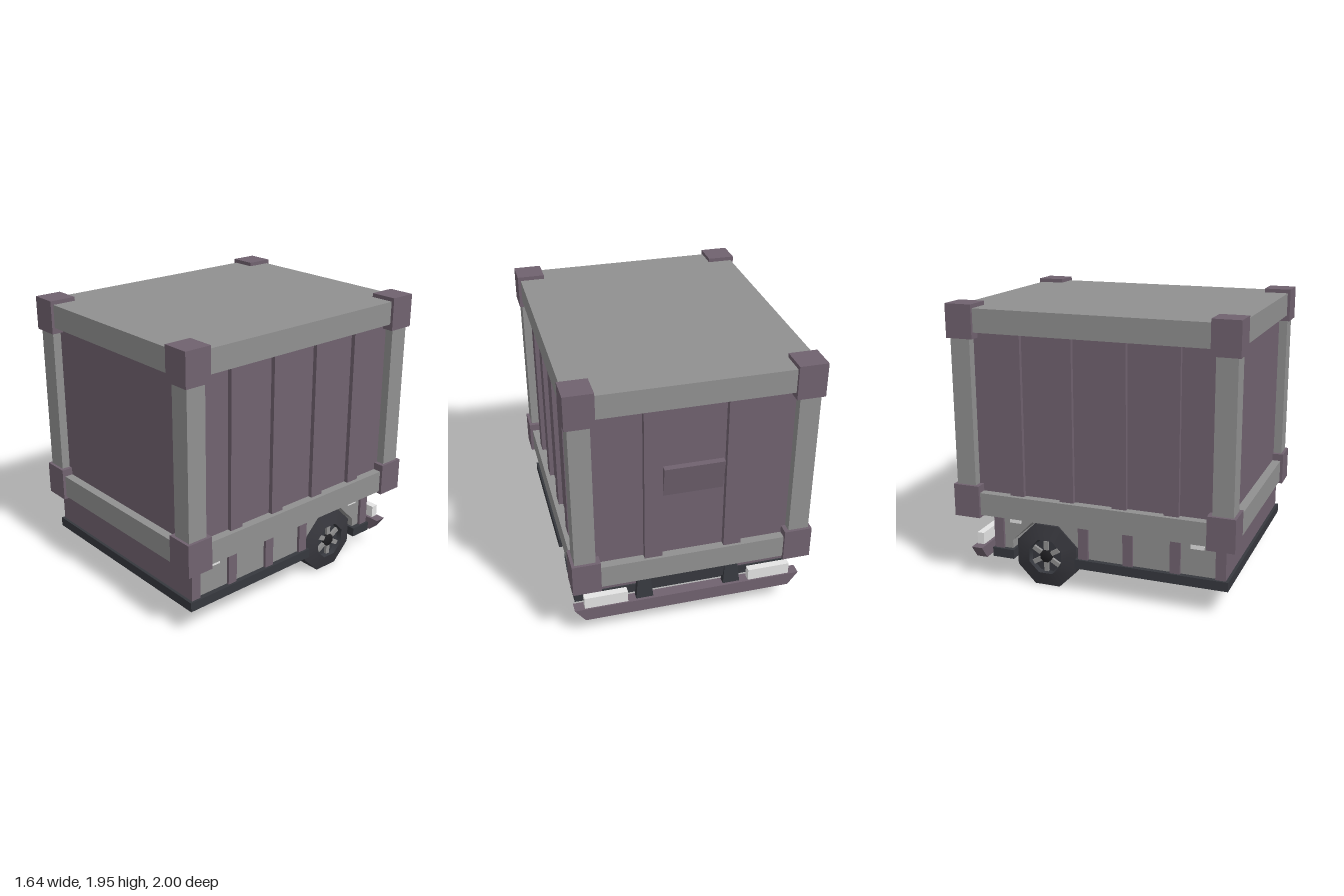
import * as THREE from 'three';

const mat = (name, color) => {
  const m = new THREE.MeshStandardMaterial({ color });
  m.name = name;
  return m;
};

export function createModel() {
  const purple = mat('dull purple paint', 0x70626f);
  const grey = mat('grey frame', 0x909090);
  const dark = mat('dark rail', 0x36383e);
  const rubber = mat('tyre rubber', 0x37373d);
  const black = mat('black', 0x1f1f22);
  const pale = mat('pale lamp', 0xe4e4e4);
  const model = new THREE.Group();

  const add = (name, geometry, material, parent = model) => {
    const mesh = new THREE.Mesh(geometry, material);
    mesh.name = name;
    parent.add(mesh);
    return mesh;
  };
  // box given by its lower and upper bounds on each axis
  const box = (name, material, x0, x1, y0, y1, z0, z1, parent) => {
    const g = new THREE.BoxGeometry(x1 - x0, y1 - y0, z1 - z0);
    g.translate((x0 + x1) / 2, (y0 + y1) / 2, (z0 + z1) / 2);
    return add(name, g, material, parent);
  };
  // the same box on both sides of the model
  const pair = (name, material, x0, x1, ...yz) => {
    box(name, material, x0, x1, ...yz);
    box(name, material, -x1, -x0, ...yz);
  };
  // box whose corners are moved by a rule
  const shapedBox = (name, material, size, position, rule) => {
    const g = new THREE.BoxGeometry(...size);
    const p = g.attributes.position;
    const v = new THREE.Vector3();
    for (let i = 0; i < p.count; i++) {
      rule(v.fromBufferAttribute(p, i));
      p.setXYZ(i, v.x, v.y, v.z);
    }
    g.computeVertexNormals();
    return add(name, g.translate(...position), material);
  };

  // container body, roof and frame
  box('containerBody', purple, -0.74, 0.74, 0.5, 1.85, -0.92, 0.92);
  box('roof', grey, -0.8, 0.8, 1.76, 1.92, -0.98, 0.98);
  pair('lowerSideRail', grey, 0.66, 0.8, 0.485, 0.645, -0.98, 0.98);
  for (const s of [-1, 1]) {
    const z0 = s > 0 ? 0.84 : -0.98;
    box('lowerEndRail', grey, -0.66, 0.66, 0.485, 0.645, z0, z0 + 0.14);
    pair('cornerPost', grey, 0.66, 0.8, 0.645, 1.76, z0, z0 + 0.14);
    const c0 = s > 0 ? 0.81 : -1;
    for (const y of [0.467, 1.717]) {
      pair('cornerCasting', purple, 0.63, 0.82, y, y + 0.23, c0, c0 + 0.19);
    }
  }

  // wall ribs and rear hatch, which slopes back to the wall at the bottom
  for (const z of [0.56, 0.2, -0.175, -0.54]) {
    pair('sideRib', purple, 0.73, 0.77, 0.645, 1.76, z - 0.05, z + 0.05);
  }
  pair('rearRib', purple, 0.21, 0.33, 0.645, 1.76, -0.96, -0.91);
  shapedBox('rearHatch', purple, [0.4, 0.22, 0.06], [0, 1.21, -0.935], v => {
    if (v.y < 0 && v.z < 0) v.z = 0.01;
  });

  // chassis with wheel arch cut across its width
  const side = new THREE.Shape([
    [0.92, 0.21], [0.92, 0.495], [-0.72, 0.495], [-0.72, 0.21], [-0.6, 0.21],
    [-0.6, 0.305], [-0.45, 0.455], [-0.25, 0.455], [-0.1, 0.305], [-0.1, 0.21],
  ].map(([z, y]) => new THREE.Vector2(z, y)));
  const chassis = new THREE.ExtrudeGeometry(side, { depth: 1.48, bevelEnabled: false });
  chassis.rotateY(-Math.PI / 2).translate(0.74, 0, 0);
  add('chassis', chassis, grey);
  for (const [z0, z1] of [[0.86, 0.93], [0.55, 0.62], [0.22, 0.29], [-0.1, -0.03], [-0.73, -0.66]]) {
    box('chassisFrame', purple, -0.76, 0.76, 0.22, 0.49, z0, z1);
  }
  pair('sideMarker', pale, 0.74, 0.755, 0.435, 0.48, 0.69, 0.78);
  pair('sideMarker', pale, 0.74, 0.755, 0.44, 0.485, -0.61, -0.53);

  // skirt rails with floor panels between them
  for (const [z0, z1] of [[-0.12, 0.95], [-0.74, -0.58]]) {
    pair('skirtRail', dark, 0.73, 0.775, 0.18, 0.245, z0, z1);
    box('crossRail', dark, -0.73, 0.73, 0.18, 0.245, z1 - 0.04, z1);
    box('crossRail', dark, -0.73, 0.73, 0.18, 0.245, z0, z0 + 0.03);
    box('floorPanel', black, -0.73, 0.73, 0.195, 0.22, z0 + 0.02, z1 - 0.02);
  }
  for (const z of [0.72, 0.46, 0.2, -0.03, -0.66]) {
    box('floorStrip', grey, -0.73, 0.73, 0.188, 0.2, z - 0.008, z + 0.008);
  }

  // wheels: eight-sided tyre, dark rim and six spokes
  const lathe = (name, pts, material, parent) => {
    const g = new THREE.LatheGeometry(pts.map(p => new THREE.Vector2(...p)), 8, Math.PI / 8);
    return add(name, g.rotateZ(-Math.PI / 2), material, parent);
  };
  const R = 0.22 / Math.cos(Math.PI / 8);
  for (const s of [1, -1]) {
    const wheel = new THREE.Group();
    wheel.name = s > 0 ? 'leftWheel' : 'rightWheel';
    wheel.position.set(0, 0.22, -0.35);
    wheel.rotation.y = s > 0 ? 0 : Math.PI;
    model.add(wheel);
    lathe('tyreBack', [[0, 0.5], [R, 0.5]], rubber, wheel);
    lathe('tyreTread', [[R, 0.5], [R, 0.725]], rubber, wheel);
    lathe('tyreWall', [[R, 0.725], [0.13, 0.755]], rubber, wheel);
    lathe('rimLip', [[0.13, 0.755], [0.12, 0.72]], dark, wheel);
    lathe('rimDisc', [[0.12, 0.72], [0, 0.72]], dark, wheel);
    lathe('hub', [[0.045, 0.72], [0.045, 0.745], [0, 0.745]], black, wheel);
    for (let i = 0; i < 6; i++) {
      const spoke = box('spoke', grey, 0.715, 0.74, 0.045, 0.11, -0.016, 0.016, wheel);
      spoke.rotation.x = i * Math.PI / 3;
    }
  }

  // rear bumper, narrower at the bottom, with lamps on top
  shapedBox('rearBumper', purple, [1.6, 0.095, 0.08], [0, 0.1875, -0.855], v => {
    if (v.y < 0) v.x *= 0.91;
  });
  pair('rearLamp', pale, 0.43, 0.73, 0.235, 0.32, -0.885, -0.835);

  // tapered bumper hangers and the plate between them
  for (const s of [-1, 1]) {
    shapedBox('bumperHanger', dark, [0.12, 0.26, 0.05], [s * 0.31, 0.36, -0.85], v => {
      if (v.y < 0) return;
      v.x *= 0.6;
      if (v.z < 0) v.z = 0.005;
    });
  }
  box('hangerPlate', dark, -0.28, 0.28, 0.29, 0.42, -0.85, -0.83);

  return model;
}
